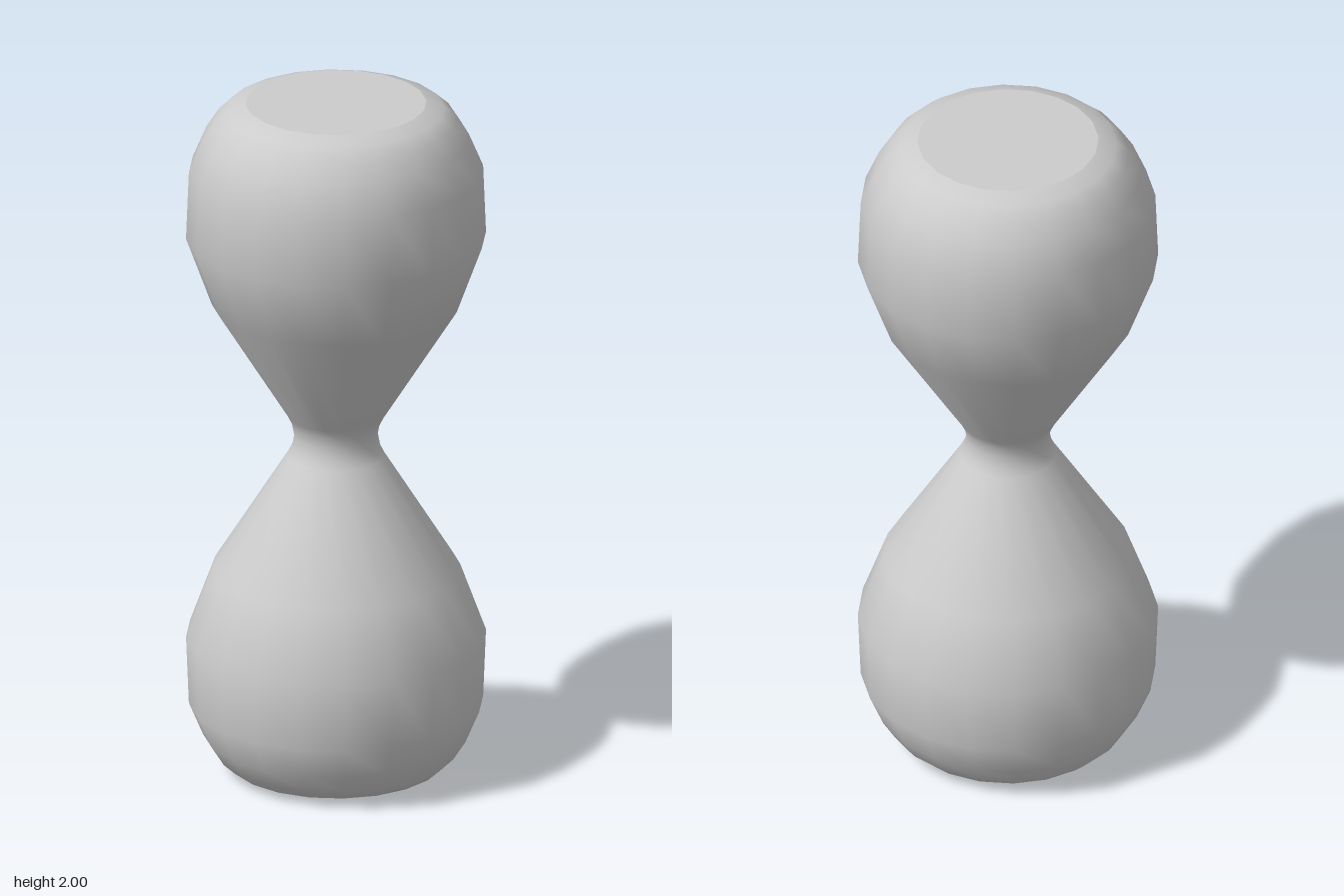
import * as THREE from 'three';

const SIDES = 20;

export function createModel() {
  const group = new THREE.Group();
  const material = new THREE.MeshStandardMaterial({ color: 0xcccccc });

  // Lower bulb outline [radius, height] from base to waist, mirrored for the upper bulb
  const lower = [
    [0.255, 0], [0.305, 0.018], [0.34, 0.05], [0.375, 0.105], [0.415, 0.2],
    [0.423, 0.4], [0.35, 0.6], [0.137, 0.94], [0.124, 0.967],
  ];
  const upper = lower.map(([r, y]) => [r, 2 - y]).reverse();
  const profile = [...lower, [0.118, 1], ...upper].map(([r, y]) => new THREE.Vector2(r, y));

  // Smooth hourglass wall
  const body = new THREE.Mesh(new THREE.LatheGeometry(profile, SIDES), material);
  body.name = 'hourglassBody';
  group.add(body);

  // Flat end discs with crisp rims
  for (const [name, y, tilt] of [['topCap', 2, -1], ['bottomCap', 0, 1]]) {
    const cap = new THREE.Mesh(new THREE.CircleGeometry(lower[0][0], SIDES), material);
    cap.name = name;
    cap.rotation.x = tilt * Math.PI / 2;
    cap.position.y = y;
    group.add(cap);
  }
  return group;
}
